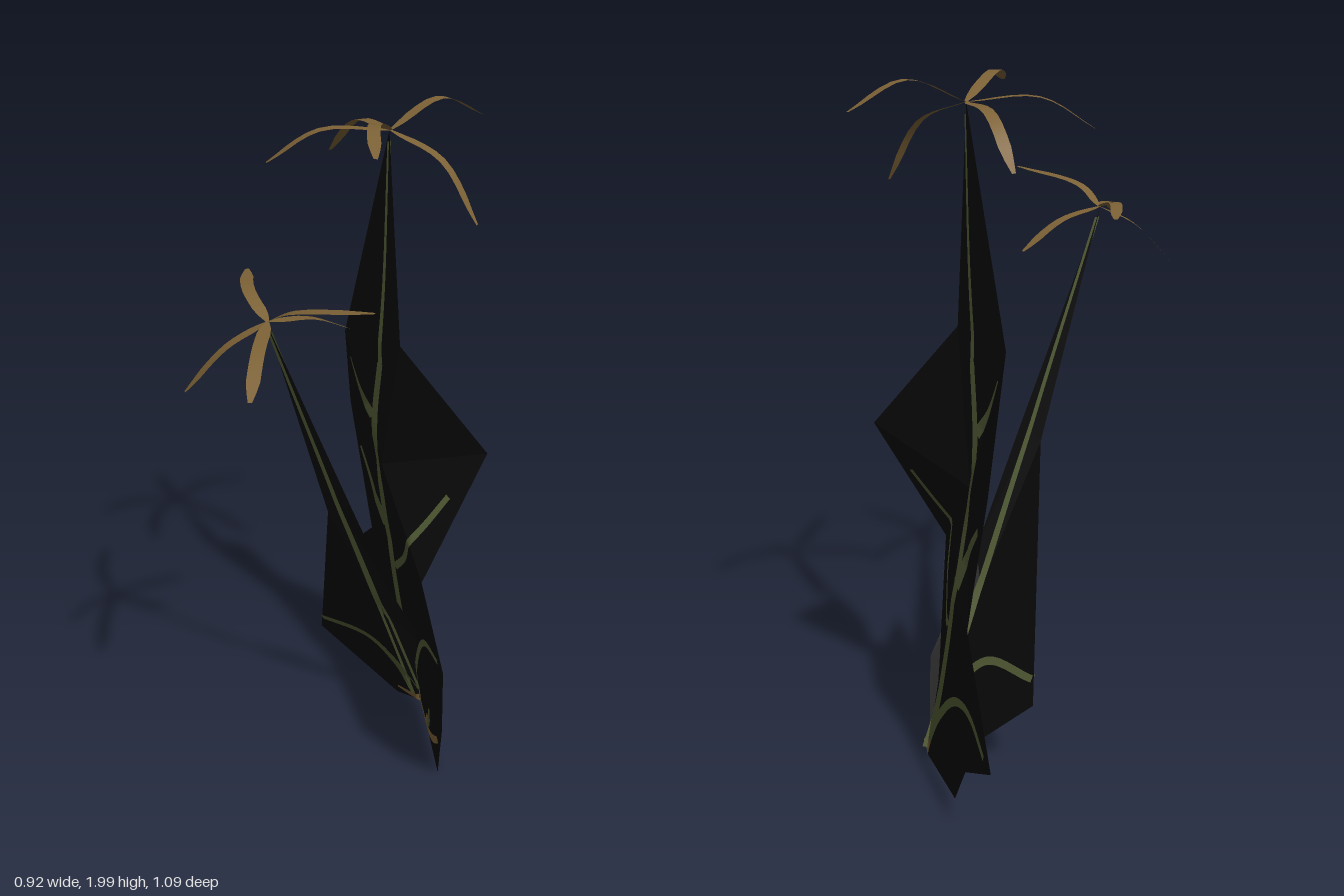
import * as THREE from 'three';

const mat = (name, color) => {
  const m = new THREE.MeshStandardMaterial({ color, side: THREE.DoubleSide });
  m.name = name;
  return m;
};

const V = (p) => new THREE.Vector3(...p);

function meshFrom(name, positions, index, material) {
  let g = new THREE.BufferGeometry();
  g.setAttribute('position', new THREE.Float32BufferAttribute(positions, 3));
  if (index) g.setIndex(index);
  g.computeVertexNormals();
  const mesh = new THREE.Mesh(g, material);
  mesh.name = name;
  return mesh;
}

// Triangles between two neighbouring outlines: lists of point triples
const panel = (points, faces) => faces.map((f) => f.map((i) => V(points[i])));

// Depth of a folded sheet at a given x, y
function depthOn(triangles, x, y) {
  let best = -Infinity, z = 0;
  for (const [a, b, c] of triangles) {
    const d = (b.y - c.y) * (a.x - c.x) + (c.x - b.x) * (a.y - c.y);
    if (Math.abs(d) < 1e-6) continue;
    const u = ((b.y - c.y) * (x - c.x) + (c.x - b.x) * (y - c.y)) / d;
    const v = ((c.y - a.y) * (x - c.x) + (a.x - c.x) * (y - c.y)) / d;
    const w = 1 - u - v;
    const inside = Math.min(u, v, w);
    if (inside > best) {
      best = inside;
      z = u * a.z + v * b.z + w * c.z;
    }
  }
  return z;
}

// Index list for a ribbon with two points per step
function ribbonIndex(steps) {
  const index = [];
  for (let i = 0; i < steps; i++) {
    const k = 2 * i;
    index.push(k, k + 1, k + 2, k + 1, k + 3, k + 2);
  }
  return index;
}

// Painted strand following a sheet, on both of its faces
function strand(name, triangles, path, w0, w1, material) {
  const group = new THREE.Group();
  group.name = name;
  const curve = new THREE.CatmullRomCurve3(path.map(([x, y]) => new THREE.Vector3(x, y, 0)));
  const steps = 28;
  for (const offset of [0.004, -0.004]) {
    const pos = [];
    for (let i = 0; i <= steps; i++) {
      const t = i / steps, p = curve.getPoint(t), d = curve.getTangent(t);
      const h = (w0 + (w1 - w0) * t) / 2;
      for (const s of [1, -1]) {
        const x = p.x - d.y * h * s, y = p.y + d.x * h * s;
        pos.push(x, y, depthOn(triangles, x, y) + offset);
      }
    }
    group.add(meshFrom(name + 'Face', pos, ribbonIndex(steps), material));
  }
  return group;
}

// Narrow drooping petal, broad in the horizontal direction
function petal(center, mid, tip, material) {
  const curve = new THREE.CatmullRomCurve3([V(center), V(mid), V(tip)]);
  const side = new THREE.Vector3(-(tip[2] - center[2]), 0, tip[0] - center[0]).normalize();
  const steps = 10, pos = [];
  for (let i = 0; i <= steps; i++) {
    const t = i / steps, p = curve.getPoint(t);
    const h = 0.017 * Math.min(1, 0.25 + 5 * t, 0.3 + 4 * (1 - t));
    for (const s of [1, -1]) pos.push(p.x + side.x * h * s, p.y, p.z + side.z * h * s);
  }
  return meshFrom('petal', pos, ribbonIndex(steps), material);
}

function flower(name, center, petals, material) {
  const group = new THREE.Group();
  group.name = name;
  for (const [mid, tip] of petals) group.add(petal(center, mid, tip, material));
  return group;
}

export function createModel() {
  const black = mat('black leaf', 0x080808);
  const green = mat('olive green', 0x505a34);
  const brown = mat('ochre brown', 0x7d6236);
  const model = new THREE.Group();
  model.name = 'plant';

  // Tall sheet: spine 0-4, left outline 5-11, right outline 12-17
  const tall = panel([
    [0.08, 0.02, -0.36], [0.02, 0.3, -0.35], [-0.04, 0.6, -0.34], [-0.04, 0.9, -0.27], [0, 1.93, -0.23],
    [-0.17, 0.03, -0.43], [-0.24, 0.16, -0.44], [-0.46, 0.3, -0.51], [-0.19, 0.56, -0.39],
    [-0.295, 0.985, -0.39], [-0.16, 1.31, -0.23], [-0.04, 1.32, -0.23],
    [0.34, 0, -0.155], [0.42, 0.26, -0.07], [0.455, 0.515, -0.02], [0.22, 0.635, -0.18],
    [0.28, 1.02, -0.375], [0.06, 1.33, -0.23],
  ], [
    [0, 1, 5], [5, 1, 6], [6, 1, 8], [6, 8, 7], [1, 2, 8], [2, 3, 8], [8, 3, 9], [9, 3, 10], [3, 11, 10], [10, 11, 4],
    [0, 12, 1], [12, 13, 1], [13, 15, 1], [13, 14, 15], [1, 15, 2], [2, 15, 3], [15, 16, 3], [3, 16, 17], [3, 17, 11], [11, 17, 4],
  ]);

  // Leaning sheet: stem 0-3, left outline 4-6, right outline 7-9
  const leaning = panel([
    [0.08, 0.03, -0.35], [0.1, 0.5, -0.14], [0.115, 0.95, 0.06], [0.12, 1.58, 0.32],
    [0.0, 0.03, -0.33], [-0.212, 0.26, -0.184], [0.077, 0.92, 0.067],
    [0.14, 0.3, -0.3], [0.15, 0.6, -0.12], [0.15, 0.95, 0.045],
  ], [
    [0, 1, 4], [4, 1, 5], [5, 1, 6], [1, 2, 6], [6, 2, 3],
    [0, 7, 1], [7, 8, 1], [1, 8, 2], [8, 9, 2], [2, 9, 3],
  ]);

  for (const [name, sheet] of [['tallLeafSheet', tall], ['leaningLeafSheet', leaning]]) {
    model.add(meshFrom(name, sheet.flatMap((t) => t.flatMap((p) => [p.x, p.y, p.z])), null, black));
  }

  // Strands on the sheets: name, sheet, path, start width, end width, colour
  const strands = [
    ['mainStem', tall, [[0.08, 0.04], [0, 0.25], [-0.07, 0.6], [-0.065, 0.8], [-0.055, 1.05], [-0.02, 1.25]], 0.035, 0.02, green],
    ['upperStem', tall, [[-0.02, 1.25], [-0.005, 1.5], [0, 1.9]], 0.016, 0.006, green],
    ['leftLeafStalk', tall, [[-0.075, 0.64], [-0.13, 0.76], [-0.22, 0.86]], 0.045, 0.02, green],
    ['topLeafStalk', tall, [[-0.06, 1.06], [-0.11, 1.13], [-0.145, 1.23]], 0.035, 0.012, green],
    ['rightLeafStalk', tall, [[-0.04, 0.5], [0.07, 0.62], [0.16, 0.77], [0.21, 0.88]], 0.025, 0.018, green],
    ['lowLeftStalk', tall, [[0.08, 0.05], [-0.01, 0.2], [-0.14, 0.32], [-0.27, 0.345], [-0.4, 0.31]], 0.03, 0.02, green],
    ['lowRightStalk', tall, [[0.08, 0.05], [0.13, 0.25], [0.23, 0.42], [0.4, 0.505]], 0.03, 0.015, green],
    ['sprig', tall, [[0.22, 0.09], [0.26, 0.13], [0.275, 0.2]], 0.03, 0.015, green],
    ['root', tall, [[0.06, 0.05], [0.17, 0.065], [0.29, 0.1], [0.37, 0.17]], 0.045, 0.02, brown],
    ['rootTwig', tall, [[0.12, 0.06], [0.21, 0.08], [0.25, 0.15]], 0.03, 0.012, brown],
    ['leaningStem', leaning, [[0.08, 0.04], [0.1, 0.5], [0.115, 0.95], [0.12, 1.55]], 0.026, 0.006, green],
    ['leaningStalk', leaning, [[0.08, 0.06], [0.06, 0.22], [-0.01, 0.32], [-0.18, 0.325]], 0.03, 0.02, green],
    ['leaningRoot', leaning, [[0.09, 0.045], [0.06, 0.055], [0.02, 0.075]], 0.035, 0.012, brown],
  ];
  for (const s of strands) model.add(strand(...s));

  // Flowers: centre, then middle and tip of each petal
  model.add(flower('topFlower', [0.003, 1.93, -0.23], [
    [[0.03, 1.993, -0.39], [0.05, 1.925, -0.545]],
    [[-0.16, 1.92, -0.27], [-0.305, 1.8, -0.308]],
    [[-0.1, 1.94, -0.07], [-0.18, 1.86, 0.045]],
    [[0.1, 1.99, -0.07], [0.215, 1.95, 0.042]],
    [[0.15, 1.87, -0.275], [0.245, 1.71, -0.315]],
  ], brown));
  model.add(flower('lowerFlower', [0.12, 1.58, 0.315], [
    [[0.0, 1.615, 0.27], [-0.142, 1.605, 0.153]],
    [[0.21, 1.63, 0.315], [0.41, 1.665, 0.237]],
    [[0.13, 1.555, 0.18], [0.125, 1.485, 0.04]],
    [[0.07, 1.525, 0.41], [0.015, 1.415, 0.5]],
    [[0.22, 1.565, 0.435], [0.315, 1.505, 0.545]],
  ], brown));

  return model;
}
